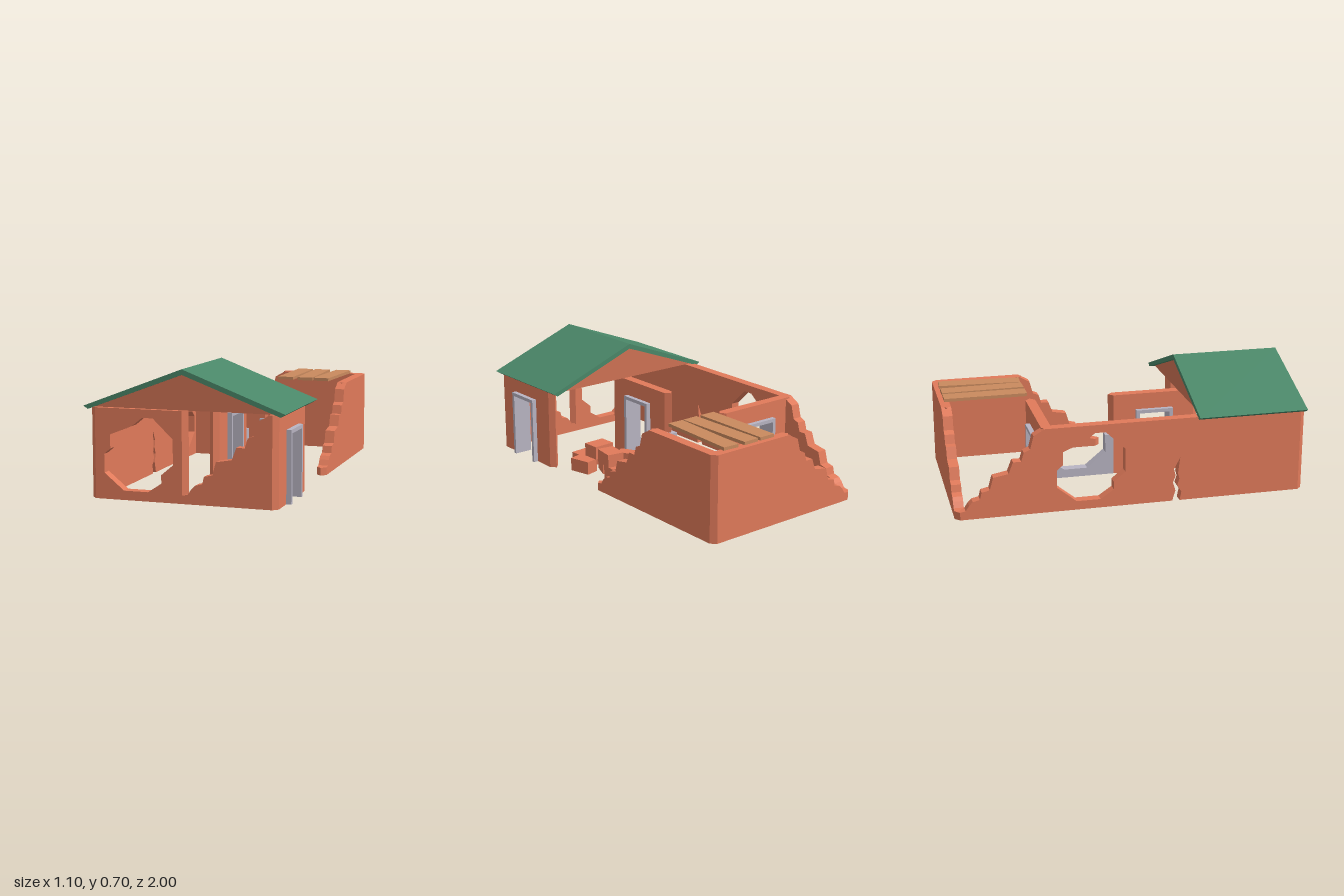
import * as THREE from 'three';

const mat = (color) => new THREE.MeshStandardMaterial({ color, flatShading: true });
const BRICK = mat(0xe07a5a), GABLE = mat(0xcf7254), GREEN = mat(0x4a8768);
const GREY = mat(0xb8b4c2), WOOD = mat(0xc98a5e);

const L = 0.485;  // length of one wall bay
const H = 0.485;  // wall height
const T = 0.056;  // wall thickness

const toShape = (pts) => new THREE.Shape(pts.map(([x, y]) => new THREE.Vector2(x, y)));

// Ragged opening, in bay coordinates (distance along the bay, height)
const HOLE = [
  [0.435, 0.335], [0.435, 0.2], [0.37, 0.145], [0.37, 0.1], [0.295, 0.05], [0.16, 0.05],
  [0.05, 0.14], [0.05, 0.24], [0.085, 0.27], [0.085, 0.345], [0.21, 0.395], [0.265, 0.44], [0.325, 0.44],
];

// Outlines of the different wall bays
const SOLID = [[0, 0], [L, 0], [L, H], [0, H]];
const BROKEN = [
  [0, 0], [L, 0], [L, H], [0.47, H], [0.455, 0.475], [0.41, 0.45], [0.39, 0.375], [0.355, 0.36],
  [0.34, 0.31], [0.295, 0.31], [0.27, 0.245], [0.185, 0.23], [0.165, 0.16], [0.12, 0.15],
  [0.11, 0.11], [0.07, 0.1], [0.05, 0.08], [0.03, 0.05], [0, 0.045],
];
const CRACKED = [
  [0, 0], [0.222, 0], [0.24, 0.06], [0.225, 0.11], [0.24, 0.15], [0.23, 0.19], [0.265, 0.255],
  [0.253, 0.16], [0.262, 0.13], [0.25, 0.09], [0.275, 0.05], [0.265, 0], [L, 0], [L, H], [0, H],
];
const MID = L / 2;
const DOORWAY = [
  [0, 0], [MID - 0.1, 0], [MID - 0.1, 0.38], [MID + 0.1, 0.38], [MID + 0.1, 0], [L, 0], [L, H], [0, H],
];
const HALF = [[0, 0], [L, 0], [L, 0.245], [0.435, 0.245], ...HOLE.slice(1, 7), [0.05, 0.245], [0, 0.245]];
const FRAME = [
  [-0.11, 0], [-0.09, 0], [-0.09, 0.37], [0.09, 0.37], [0.09, 0], [0.11, 0], [0.11, 0.39], [-0.11, 0.39],
];

// Outline extruded symmetrically about its own plane
function slab(name, pts, depth, material, hole) {
  const shape = toShape(pts);
  if (hole) shape.holes.push(toShape(hole));
  const geo = new THREE.ExtrudeGeometry(shape, { depth, bevelEnabled: false });
  geo.translate(0, 0, -depth / 2);
  const mesh = new THREE.Mesh(geo, material);
  mesh.name = name;
  return mesh;
}

// One wall bay from grid node a to grid node b (x, z in bays)
function bay(name, a, b, outline, { hole, material = BRICK, door = false } = {}) {
  const g = new THREE.Group();
  g.name = name;
  g.add(slab(name + 'Panel', outline, T, material, hole));
  if (door) {
    const frame = slab('doorFrame', FRAME, 0.11, GREY);
    frame.position.x = MID;
    g.add(frame);
  }
  g.position.set(a[0] * L, 0, a[1] * L);
  g.rotation.y = Math.atan2(a[1] - b[1], b[0] - a[0]);
  return g;
}

// Diamond post that gives wall ends and corners their pointed edge
function post(x, z, h) {
  const m = new THREE.Mesh(new THREE.CylinderGeometry(T / 2, T / 2, h, 4), BRICK);
  m.name = 'wallEnd';
  m.position.set(x * L, h / 2, z * L);
  return m;
}

function box(name, material, [w, h, d], [x, y, z], turn = 0) {
  const m = new THREE.Mesh(new THREE.BoxGeometry(w, h, d), material);
  m.name = name;
  m.position.set(x, y, z);
  m.rotation.y = turn;
  return m;
}

export function createModel() {
  const house = new THREE.Group();
  house.name = 'ruinedHouse';

  // Outer and inner walls
  house.add(
    bay('frontWallWithHole', [-1, 2], [0, 2], SOLID, { hole: HOLE }),
    bay('frontWallBroken', [0, 2], [1, 2], BROKEN),
    bay('leftSideDoorWall', [1, 1], [1, 2], DOORWAY, { door: true }),
    bay('leftSideWallBroken', [1, 0], [1, -1], BROKEN),
    bay('leftSideWallBack', [1, -1], [1, -2], SOLID),
    bay('backWall', [0, -2], [1, -2], SOLID),
    bay('backWallBroken', [-1, -2], [0, -2], BROKEN),
    bay('rightSideWallBroken', [-1, -2], [-1, -1], BROKEN),
    bay('rightSideWallWithHole', [-1, -1], [-1, 0], SOLID, { hole: HOLE }),
    bay('rightSideWallCracked', [-1, 0], [-1, 1], CRACKED),
    bay('rightSideWallFront', [-1, 1], [-1, 2], SOLID),
    bay('innerCrossWall', [-1, -1], [0, -1], DOORWAY, { door: true }),
    bay('innerPartition', [0, 0], [0, 1], DOORWAY, { door: true }),
    bay('lowGreyWall', [0, 0], [0, -1], HALF, { material: GREY }),
  );

  // Pointed wall ends and corners
  const full = [[-1, 2], [0, 2], [1, 2], [1, 1], [1, -1], [1, -2], [0, -2], [-1, -1], [0, -1], [0, 0], [0, 1]];
  full.forEach(([x, z]) => house.add(post(x, z, H)));
  house.add(post(-1, -2, 0.045), post(1, 0, 0.045));

  // Pitched roof over the front room, with a solid gable block below it
  const roof = slab('roof', [
    [-0.552, 0.49], [-0.527, 0.474], [0, 0.671], [0.527, 0.474], [0.552, 0.49], [0, 0.7],
  ], 0.63, GREEN);
  roof.position.z = 0.68;
  const gable = slab('gable', [[-0.498, H], [0.498, H], [0, 0.671]], 0.58, GABLE);
  gable.position.z = 0.682;
  house.add(roof, gable);

  // Loose planks lying over the back room
  [[0.122, 0], [0.24, 0.025], [0.36, -0.055]].forEach(([x, turn]) =>
    house.add(box('plank', WOOD, [0.095, 0.018, 0.48], [x, 0.495, -0.73], turn)));

  // Fallen rubble: x, z, width, depth, turn, layer
  const rubble = [
    [0.085, 0.115, 0.07, 0.09, -0.3, 0], [0.12, 0.255, 0.07, 0.09, 0.5, 0],
    [0.305, 0.09, 0.13, 0.09, -0.08, 0], [0.27, 0.225, 0.1, 0.12, -0.4, 0],
    [0.39, 0.31, 0.08, 0.13, 0.25, 0], [0.22, 0.38, 0.1, 0.12, -0.6, 0],
    [0.32, 0.4, 0.11, 0.1, 0.1, 0], [0.315, 0.145, 0.1, 0.13, -0.15, 1],
    [0.285, 0.3, 0.13, 0.1, 0.05, 1],
  ];
  rubble.forEach(([x, z, w, d, turn, layer]) =>
    house.add(box('rubbleBlock', BRICK, [w, 0.077, d], [x, 0.0385 + layer * 0.077, z], turn)));

  return house;
}
